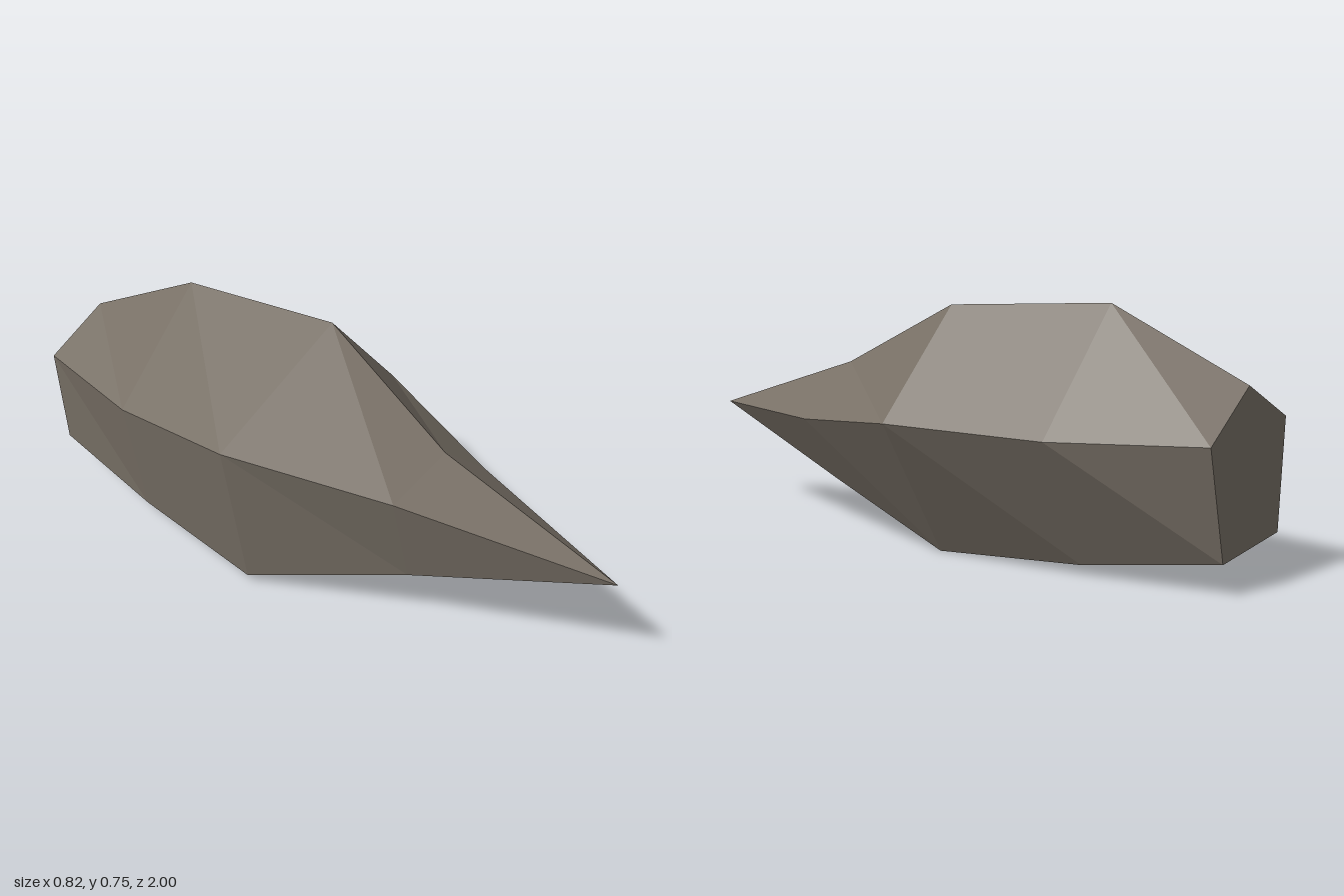
import * as THREE from 'three';

// Five-sided cross-sections from front to back; corners run
// top, left side, lower left, lower right, right side (as seen from the front).
const TIP = [-0.02, 0.34, 1];
const RINGS = [
  { z: 0.41, pts: [[-0.005, 0.52], [-0.25, 0.468], [-0.17, 0.18], [0.07, 0.15], [0.21, 0.357]] },
  { z: -0.09, pts: [[0.1, 0.73], [-0.41, 0.514], [-0.315, 0.025], [0.152, 0], [0.41, 0.412]] },
  { z: -0.58, pts: [[0.003, 0.75], [-0.33, 0.44], [-0.256, 0.052], [0.136, 0.03], [0.33, 0.4]] },
  { z: -1, pts: [[-0.015, 0.55], [-0.235, 0.445], [-0.207, 0.123], [0.105, 0.09], [0.186, 0.41]] },
];

// Unshared corners give every facet its own flat normal.
function facets(triangles) {
  const geometry = new THREE.BufferGeometry();
  geometry.setAttribute('position', new THREE.Float32BufferAttribute(triangles.flat(2), 3));
  geometry.computeVertexNormals();
  return geometry;
}

export function createModel() {
  const group = new THREE.Group();
  group.name = 'rockShard';
  const stone = new THREE.MeshStandardMaterial({ color: 0x787066 });
  stone.name = 'brown grey stone';

  const rings = RINGS.map(({ z, pts }) => pts.map(([x, y]) => [x, y, z]));
  const point = [], body = [], end = [];

  for (let j = 0; j < 5; j++) {
    const k = (j + 1) % 5;
    // Pointed front
    point.push([TIP, rings[0][j], rings[0][k]]);
    // Sides, ring to ring
    for (let i = 0; i < rings.length - 1; i++) {
      const a = rings[i], b = rings[i + 1];
      body.push([a[j], b[j], a[k]], [a[k], b[j], b[k]]);
    }
  }
  // Flat back face
  const back = rings[rings.length - 1];
  for (let j = 1; j < 4; j++) end.push([back[0], back[j + 1], back[j]]);

  for (const [name, triangles] of Object.entries({ point, body, end })) {
    const mesh = new THREE.Mesh(facets(triangles), stone);
    mesh.name = name;
    group.add(mesh);
  }
  return group;
}
